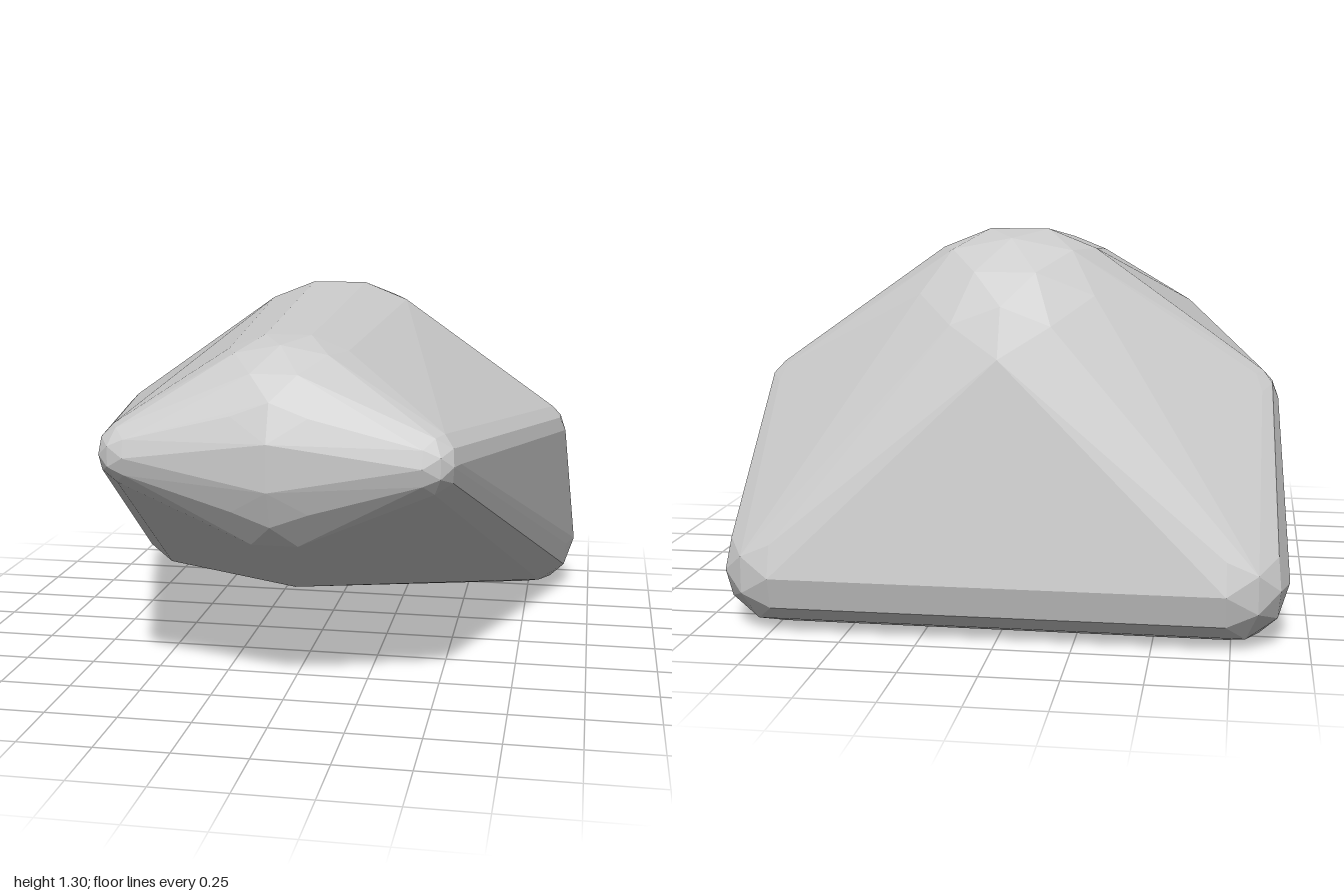
import * as THREE from 'three';
import { ConvexGeometry } from 'three/addons/geometries/ConvexGeometry.js';
import { mergeVertices } from 'three/addons/utils/BufferGeometryUtils.js';

// Points of a faceted ball, used as a rounded corner of the rock
function ballPoints(x, y, z, radius, detail) {
  const ball = new THREE.IcosahedronGeometry(radius, detail);
  ball.deleteAttribute('normal');
  ball.deleteAttribute('uv');
  const pos = mergeVertices(ball, 1e-4).getAttribute('position');
  const points = [];
  for (let i = 0; i < pos.count; i++) {
    points.push(new THREE.Vector3().fromBufferAttribute(pos, i).add(new THREE.Vector3(x, y, z)));
  }
  return points;
}

export function createModel() {
  const group = new THREE.Group();
  group.name = 'roundedRock';
  const points = [];

  // Mirrored corners: x, y, z, radius
  const corners = [
    [0.735, 0.2, -0.8, 0.2],    // rear foot
    [0.78, 0.735, -0.41, 0.11], // shoulder
    [0.48, 0.85, 0.83, 0.11],   // front corner
  ];
  for (const [x, y, z, r] of corners) {
    for (const side of [-1, 1]) points.push(...ballPoints(side * x, y, z, r, 1));
  }

  // Rounded crown at the rear and rounded nose at the front
  points.push(...ballPoints(0, 0.81, -0.39, 0.5, 2));
  points.push(...ballPoints(0, 0.845, 0.62, 0.38, 2));

  // Keel point under the nose
  points.push(new THREE.Vector3(0, 0.33, 0.53));

  // Taut faceted skin around all corners
  const body = new THREE.Mesh(
    new ConvexGeometry(points),
    new THREE.MeshStandardMaterial({ color: 0xcccccc, flatShading: true })
  );
  body.name = 'rockBody';
  group.add(body);
  return group;
}
